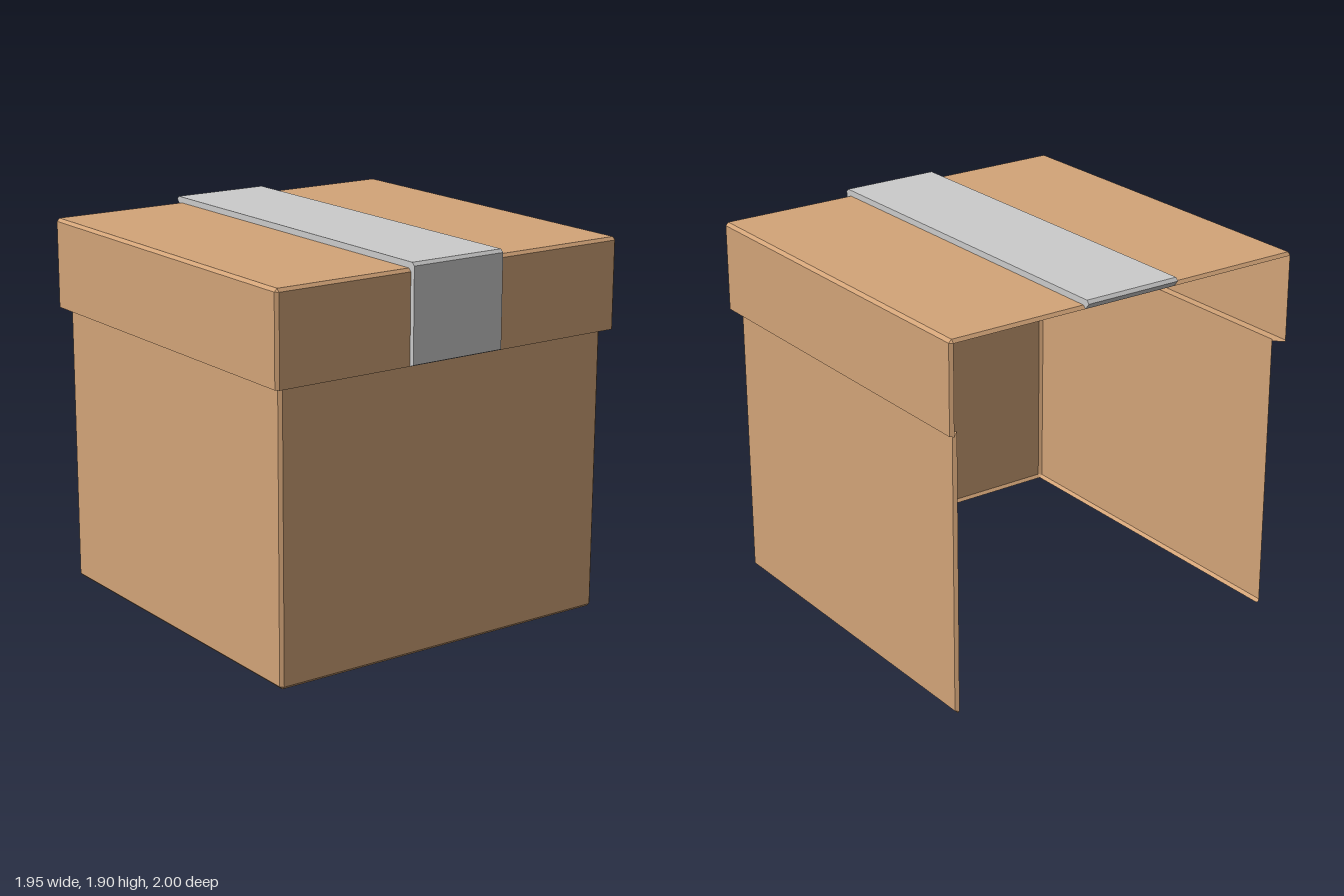
import * as THREE from 'three';

const BODY = 0.93, LID = 0.975, STRIP = 0.254; // half widths
const RIM = 1.42, TOP = 1.87, BEVEL = 0.015;

const material = (color) => new THREE.MeshStandardMaterial({ color, flatShading: true, side: THREE.DoubleSide });

// Skin a list of cross-sections (arrays of Vector3), dropping collapsed triangles.
function loft(rings) {
  const pos = [];
  const tri = (...p) => {
    if (new THREE.Triangle(...p).getArea() > 1e-8) p.forEach((v) => pos.push(v.x, v.y, v.z));
  };
  for (let r = 0; r < rings.length - 1; r++) {
    for (let i = 0; i < rings[r].length - 1; i++) {
      const a = rings[r][i], b = rings[r][i + 1], c = rings[r + 1][i + 1], d = rings[r + 1][i];
      tri(a, b, c);
      tri(a, c, d);
    }
  }
  const geometry = new THREE.BufferGeometry();
  geometry.setAttribute('position', new THREE.Float32BufferAttribute(pos, 3));
  geometry.computeVertexNormals();
  return geometry;
}

// Half outline from the front middle round one side to the open back.
function outline(side, y, half, inner, bevel, closeBack = false) {
  const h = half, k = half - bevel;
  const points = [[inner, h], [k, h], [h, k], [h, -k], [k, -h]];
  if (closeBack) points.push([inner, -h]);
  const ring = points.map(([x, z]) => new THREE.Vector3(side * x, y, z));
  return side < 0 ? ring.reverse() : ring;
}

export function createModel() {
  const group = new THREE.Group();
  const card = material(0xd3a478), tape = material(0xcccccc);
  const add = (name, geometry, mat) => {
    const mesh = new THREE.Mesh(geometry, mat);
    mesh.name = name;
    group.add(mesh);
    return mesh;
  };

  for (const side of [1, -1]) {
    const label = side > 0 ? 'left' : 'right';

    // Walls with a bevelled foot and the ledge out to the lid
    add(label + 'Walls', loft([
      outline(side, 0, BODY - BEVEL, 0, 0),
      outline(side, BEVEL, BODY, 0, BEVEL),
      outline(side, RIM, BODY, 0, BEVEL),
      outline(side, RIM, LID, 0, BEVEL),
    ]), card);

    // Lid skirt, open at the back and beneath the strip
    add(label + 'LidSkirt', loft([
      outline(side, RIM, LID, STRIP, BEVEL),
      outline(side, TOP - BEVEL, LID, STRIP, BEVEL),
    ]), card);

    // Lid panel with its bevelled rim
    const edge = outline(side, TOP, LID - BEVEL, STRIP, 0, true);
    add(label + 'LidPanel', loft([
      outline(side, TOP - BEVEL, LID, STRIP, BEVEL, true),
      edge,
      edge.map((p) => new THREE.Vector3(side * STRIP, TOP, p.z)),
    ]), card);
  }

  // Strip over the top and down the front: outer profile as [z, y]
  const outer = [
    [-LID, TOP - BEVEL], [-1, 1.885], [-0.985, 1.9], [0.985, 1.9],
    [1, 1.885], [1, RIM + 0.01], [LID, RIM],
  ];
  const section = (x) => outer.map(([z, y]) => new THREE.Vector3(x, y, z));
  add('strip', loft([section(-STRIP), section(STRIP)]), tape);

  // Strip edges filling the step down to the lid
  const inner = [[LID, TOP - BEVEL], [LID - BEVEL, TOP], [BEVEL - LID, TOP]];
  const shape = new THREE.Shape([...outer, ...inner].map(([z, y]) => new THREE.Vector2(z, y)));
  for (const side of [1, -1]) {
    const mesh = add('stripEdge', new THREE.ShapeGeometry(shape), tape);
    mesh.rotation.y = -Math.PI / 2;
    mesh.position.x = side * STRIP;
  }
  return group;
}
